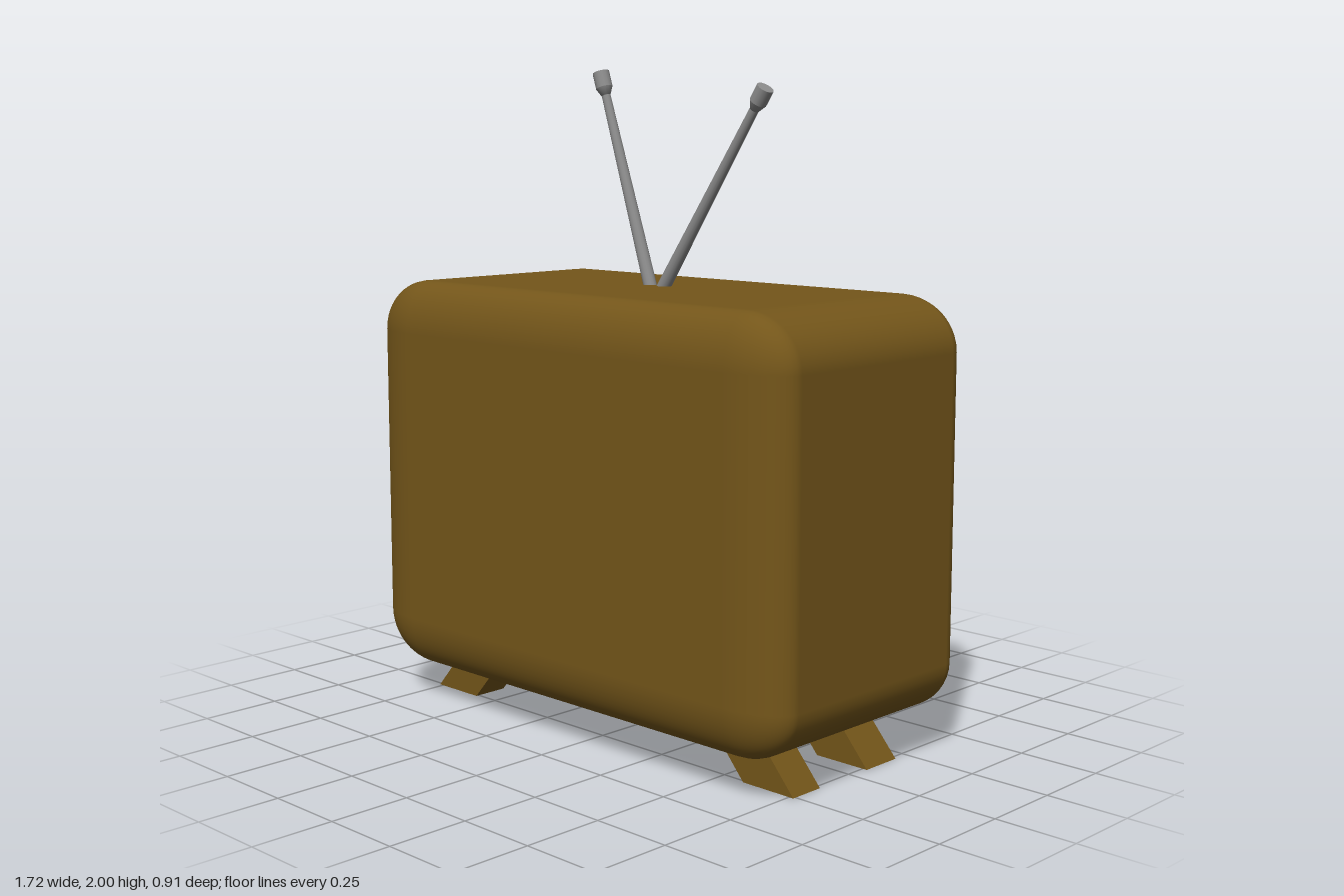
import * as THREE from 'three';
import { RoundedBoxGeometry } from 'three/addons/geometries/RoundedBoxGeometry.js';

const mat = (color, extra = {}) => new THREE.MeshStandardMaterial({ color, ...extra });

export function createModel() {
  const group = new THREE.Group();
  const brown = mat(0x74561a), black = mat(0x0c0c0c), grey = mat(0x8c8c8c);
  const glass = mat(0xa4ece4, { side: THREE.DoubleSide });

  const add = (name, geometry, material, x, y, z) => {
    const mesh = new THREE.Mesh(geometry, material);
    mesh.name = name;
    mesh.position.set(x, y, z);
    group.add(mesh);
    return mesh;
  };
  const box = (name, material, x0, x1, y0, y1, z0, z1) =>
    add(name, new THREE.BoxGeometry(x1 - x0, y1 - y0, z1 - z0), material,
      (x0 + x1) / 2, (y0 + y1) / 2, (z0 + z1) / 2);

  // Cabinet: rounded box with a different corner radius along each axis
  const [rx, ry, rz] = [0.19, 0.16, 0.1];
  const cabinet = new RoundedBoxGeometry(1.71 / rx, 1.23 / ry, 0.86 / rz, 6, 1);
  cabinet.scale(rx, ry, rz);
  add('cabinet', cabinet, brown, 0.003, 0.735, 0.02);

  // Control panel, screen frame and side vent (the screen looks towards -z)
  box('facePanel', black, -0.75, 0.745, 0.2, 1.27, -0.415, -0.35);
  box('screenFrame', brown, -0.473, 0.673, 0.257, 1.213, -0.428, -0.4);
  box('sideVent', black, -0.863, -0.8, 0.4, 0.85, -0.07, 0.14);

  // Screen: a plane swelling quickly from its rim to a flat middle
  const w = 1.135, h = 0.945, rim = 0.085, swell = 0.027;
  const screen = new THREE.PlaneGeometry(w, h, 60, 50);
  const p = screen.attributes.position;
  const rise = (d) => Math.sqrt(1 - (1 - THREE.MathUtils.clamp(d / rim, 0, 1)) ** 2);
  for (let i = 0; i < p.count; i++) {
    const x = w / 2 - Math.abs(p.getX(i)), y = h / 2 - Math.abs(p.getY(i));
    p.setZ(i, swell * rise(x) * rise(y));
  }
  screen.computeVertexNormals();
  add('screen', screen, glass, 0.1, 0.735, -0.429).rotation.y = Math.PI;

  // Dials
  for (const y of [1.05, 0.715]) {
    const dial = new THREE.CylinderGeometry(0.083, 0.083, 0.04, 28);
    add('dial', dial, grey, -0.6, y, -0.425).rotation.x = Math.PI / 2;
  }

  // Splayed feet: slanted bars mirrored left and right
  for (const side of [-1, 1]) {
    for (const [z0, z1] of [[-0.2, -0.065], [0.145, 0.26]]) {
      const outline = [[0.58, 0], [0.765, 0], [0.62, 0.165], [0.435, 0.165]]
        .map(([x, y]) => new THREE.Vector2(side * x, y));
      const foot = new THREE.ExtrudeGeometry(new THREE.Shape(outline),
        { depth: z1 - z0, bevelEnabled: false });
      add('foot', foot, brown, 0, 0, z0);
    }
  }

  // Aerials: tapered rods with a thicker end cap
  const aerial = (name, from, to) => {
    const a = new THREE.Vector3(...from), b = new THREE.Vector3(...to);
    const len = a.distanceTo(b);
    const rod = new THREE.CylinderGeometry(0.013, 0.021, len, 14).translate(0, len / 2, 0);
    const cap = new THREE.LatheGeometry([
      [0, len - 0.075], [0.014, len - 0.075], [0.026, len - 0.05],
      [0.026, len - 0.05], [0.026, len], [0.026, len], [0, len],
    ].map(([x, y]) => new THREE.Vector2(x, y)), 14);
    const part = new THREE.Group();
    part.name = name;
    part.add(new THREE.Mesh(rod, grey), new THREE.Mesh(cap, grey));
    part.children[0].name = 'rod';
    part.children[1].name = 'cap';
    part.position.copy(a);
    part.quaternion.setFromUnitVectors(new THREE.Vector3(0, 1, 0), b.sub(a).normalize());
    group.add(part);
  };
  aerial('rightAerial', [-0.045, 1.31, -0.014], [-0.283, 1.992, -0.026]);
  aerial('leftAerial', [-0.015, 1.32, -0.01], [0.41, 1.937, -0.006]);

  return group;
}
